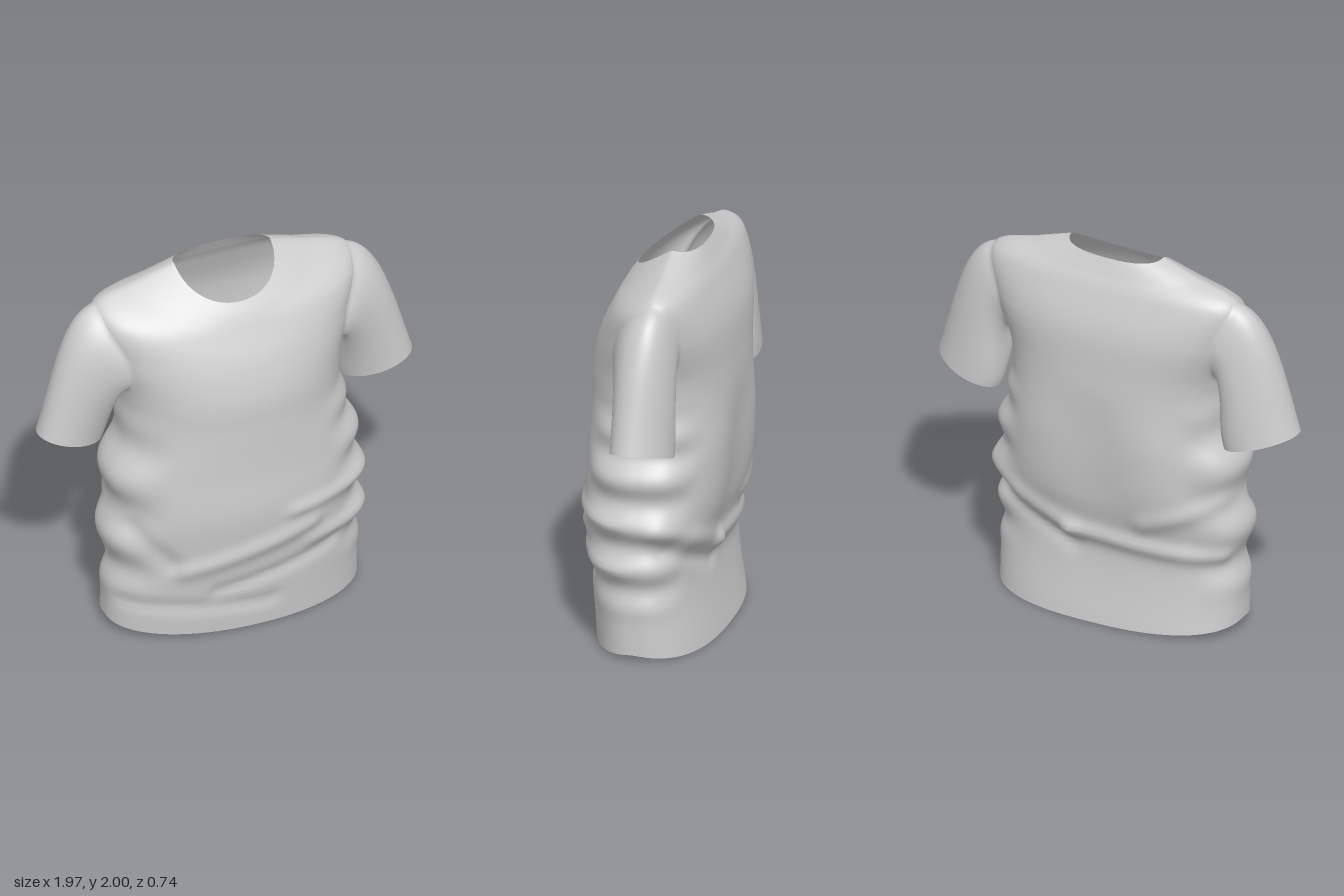
import * as THREE from 'three';

const N = 128, STEP = 14;             // columns around the body, rows per profile step
const HA = 10;                        // armhole half width in columns; half height is one profile step
const VC = 6;                         // profile step at the armhole centre
const SLEEVE_ROWS = 22;

// Body profile: side y, front y, back y, half width, side z, front z, back z
const PROFILE = [
  [0.045, 0.01, 0, 0.66, 0, 0.3, -0.32],
  [0.4, 0.4, 0.39, 0.66, 0, 0.337, -0.268],
  [0.7, 0.7, 0.7, 0.658, 0, 0.37, -0.335],
  [0.95, 0.95, 0.95, 0.635, 0, 0.357, -0.362],
  [1.2, 1.2, 1.2, 0.572, -0.02, 0.35, -0.37],
  [1.4, 1.38, 1.4, 0.575, -0.03, 0.343, -0.367],
  [1.64, 1.56, 1.63, 0.65, -0.08, 0.295, -0.35],
  [1.855, 1.71, 1.82, 0.67, -0.1, 0.225, -0.285],
  [1.945, 1.795, 1.91, 0.43, -0.1, 0.18, -0.238],
  [2, 1.85, 1.98, 0.255, -0.09, 0.14, -0.2],
];
const LAST = PROFILE.length - 1;

// Cloth folds: face (1 front, -1 back), x0, y0, x1, y1, width, height
const FOLDS = [
  [1, -0.35, 0.42, 0.3, 0.57, 0.05, 0.022],
  [1, 0.2, 0.68, 0.64, 0.69, 0.04, 0.02],
  [1, 0.3, 0.46, 0.65, 0.46, 0.04, 0.02],
  [1, -0.2, 0.27, 0.45, 0.38, 0.035, -0.018],
  [1, -0.62, 0.22, 0.1, 0.15, 0.035, -0.016],
  [1, -0.6, 0.66, -0.42, 0.46, 0.05, -0.022],
  [-1, 0.64, 0.66, 0.15, 0.48, 0.05, 0.026],
  [-1, 0.15, 0.48, -0.6, 0.44, 0.045, 0.03],
  [-1, 0.6, 0.54, 0.15, 0.38, 0.04, -0.018],
  [-1, -0.62, 0.75, -0.25, 0.6, 0.05, 0.018],
];

const { lerp, clamp, smoothstep } = THREE.MathUtils;

// Smooth interpolation through the profile rows
function profileAt(v) {
  const k = Math.min(Math.floor(v), LAST - 1), f = v - k;
  const row = (i) => PROFILE[clamp(i, 0, LAST)];
  return PROFILE[0].map((_, c) => {
    const a = row(k - 1)[c], b = row(k)[c], d = row(k + 1)[c], e = row(k + 2)[c];
    return b + 0.5 * f * (d - a + f * (2 * a - 5 * b + 4 * d - e + f * (3 * (b - d) + e - a)));
  });
}

// Height of the cloth folds, fading out below the armpits
function foldHeight(x, y, c, s) {
  let sum = 0;
  for (const [face, x0, y0, x1, y1, w, h] of FOLDS) {
    const dx = x1 - x0, dy = y1 - y0;
    const f = clamp(((x - x0) * dx + (y - y0) * dy) / (dx * dx + dy * dy), 0, 1);
    const d = Math.hypot(x - x0 - f * dx, y - y0 - f * dy) / w;
    sum += h * Math.exp(-d * d) * smoothstep(s * face, -0.2, 0.4);
  }
  // gathers along each side, then long drapes down the back
  const wave = c > 0 ? 0.02 * Math.cos((2 * Math.PI * (y - 0.46)) / 0.23)
    : 0.026 * Math.cos((2 * Math.PI * (y - 0.57)) / 0.36);
  sum += wave * smoothstep(Math.abs(c), 0.6, 1) * smoothstep(y, 0.15, 0.4);
  sum -= 0.012 * Math.cos((2 * Math.PI * x) / 0.6) * smoothstep(-s, 0.3, 0.8) * smoothstep(y, 0.5, 0.8);
  return sum * (1 - smoothstep(y, 1.0, 1.35));
}

// Point of the body surface at angle t and profile position v
function bodyPoint(t, v) {
  const [ys, yf, yb, w, zc, zf, zb] = profileAt(v);
  const c = Math.cos(t), s = Math.sin(t), front = s > 0;
  const p = front ? 0.94 : 0.8, as = Math.abs(s);
  const x = Math.sign(c) * Math.pow(Math.abs(c), p) * w;
  const z = lerp(zc, front ? zf : zb, Math.pow(as, p));
  const y = lerp(ys, front ? yf : yb, as) - 0.02 * c * Math.max(0, 1 - 3 * v);
  const d = foldHeight(x, y, c, s);
  return new THREE.Vector3(x + c * d, y, z + s * d);
}

export function createModel() {
  const rows = LAST * STEP, jc = VC * STEP;
  const points = [], bodyIndex = [];
  const id = (i, j) => j * N + ((i + N) % N);
  const quad = (out, a, b, c, d) => out.push(a, b, c, c, b, d);
  // column offset from the nearer side seam, positive to the front
  const local = (i) => (i < N / 4 ? i : i <= (3 * N) / 4 ? N / 2 - i : i - N);

  // Body grid, rounded to an oval around each armhole
  for (let j = 0; j <= rows; j++) {
    for (let i = 0; i < N; i++) {
      const a = local(i) / HA, b = j / STEP - VC;
      const m = Math.max(Math.abs(a), Math.abs(b)), r = Math.hypot(a, b);
      const k = r > 0 ? lerp(m / r, 1, smoothstep(m, 1, 2)) : 1;
      const angle = (a * k * HA * 2 * Math.PI) / N;
      const right = i >= N / 4 && i <= (3 * N) / 4;
      points.push(bodyPoint(right ? Math.PI - angle : angle, VC + b * k));
    }
  }
  for (let j = 0; j < rows; j++) {
    for (let i = 0; i < N; i++) {
      const mid = Math.abs(local(i) + local((i + 1) % N)) / 2;
      if (mid < HA && Math.abs(j + 0.5 - jc) < STEP) continue;
      quad(bodyIndex, id(i, j), id(i, j + 1), id(i + 1, j), id(i + 1, j + 1));
    }
  }

  // Armhole border, from the lower front corner upwards
  const border = [];
  for (let b = -STEP; b < STEP; b++) border.push([HA, b]);
  for (let a = HA; a > -HA; a--) border.push([a, STEP]);
  for (let b = STEP; b > -STEP; b--) border.push([-HA, b]);
  for (let a = -HA; a < HA; a++) border.push([a, -STEP]);

  // Sleeve: a curve from every armhole point to the cuff
  function sleeve(side) {
    const index = [];
    let prev = border.map(([a, b]) => id(side > 0 ? a : N / 2 - a, jc + b));
    const curves = border.map(([a, b], n) => {
      const phi = Math.atan2(b / STEP, a / HA), s = Math.sin(phi), up = (s + 1) / 2;
      const p0 = points[prev[n]].clone();
      p0.x *= side;
      const p1 = new THREE.Vector3(0.807 + 0.18 * s, 1.135 + 0.057 * s, -0.1 + 0.035 * s + 0.14 * Math.cos(phi));
      const c1 = p0.clone().add(new THREE.Vector3(lerp(0.05, 0.17, up), lerp(0.02, -0.05, up), 0));
      const c2 = p1.clone().sub(new THREE.Vector3(lerp(0.05, 0.095, up), lerp(-0.12, -0.32, up), 0));
      return new THREE.CubicBezierCurve3(p0, c1, c2, p1);
    });
    for (let k = 1; k <= SLEEVE_ROWS; k++) {
      const ring = curves.map((curve) => {
        const p = curve.getPoint(k / SLEEVE_ROWS);
        p.x *= side;
        return points.push(p) - 1;
      });
      for (let n = 0; n < ring.length; n++) {
        const m = (n + 1) % ring.length;
        if (side > 0) quad(index, prev[n], ring[n], prev[m], ring[m]);
        else quad(index, prev[n], prev[m], ring[n], ring[m]);
      }
      prev = ring;
    }
    return index;
  }
  const parts = { body: bodyIndex, leftSleeve: sleeve(1), rightSleeve: sleeve(-1) };

  // Shared points and normals keep the sleeve seams smooth
  const whole = new THREE.BufferGeometry().setFromPoints(points);
  whole.setIndex(Object.values(parts).flat());
  whole.computeVertexNormals();

  const material = new THREE.MeshStandardMaterial({ color: 0xcccccc, side: THREE.DoubleSide });
  const shirt = new THREE.Group();
  shirt.name = 'tShirt';
  for (const [name, index] of Object.entries(parts)) {
    const geometry = new THREE.BufferGeometry();
    geometry.setAttribute('position', whole.getAttribute('position'));
    geometry.setAttribute('normal', whole.getAttribute('normal'));
    geometry.setIndex(index);
    const mesh = new THREE.Mesh(geometry, material);
    mesh.name = name;
    shirt.add(mesh);
  }
  return shirt;
}
